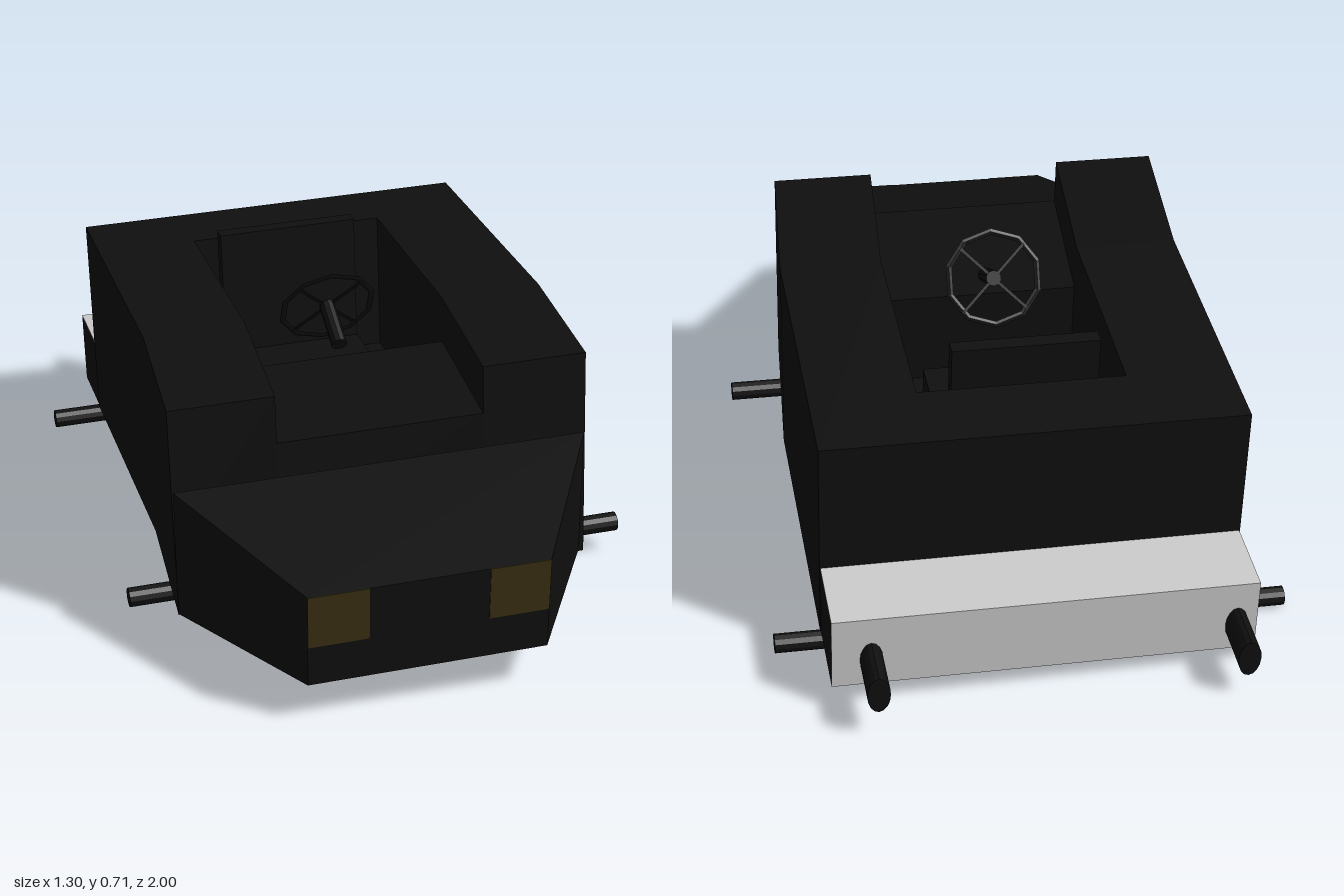
import * as THREE from 'three';

const mat = (color) => new THREE.MeshStandardMaterial({ color, flatShading: true });

// Closed loft of rectangular sections, back to front.
// Station: [zBottom, zTop, xMin, xMax, yMin, yMax]
function loft(stations) {
  const pos = [], idx = [];
  for (const [zb, zt, x0, x1, y0, y1] of stations) {
    pos.push(x0, y0, zb, x1, y0, zb, x1, y1, zt, x0, y1, zt);
  }
  for (let i = 0; i < stations.length - 1; i++) {
    for (let j = 0; j < 4; j++) {
      const k = (j + 1) % 4, a = i * 4, b = a + 4;
      idx.push(a + j, a + k, b + k, a + j, b + k, b + j);
    }
  }
  const e = (stations.length - 1) * 4;
  idx.push(0, 2, 1, 0, 3, 2, e, e + 1, e + 2, e, e + 2, e + 3);
  const g = new THREE.BufferGeometry();
  g.setAttribute('position', new THREE.Float32BufferAttribute(pos, 3));
  g.setIndex(idx);
  const flat = g.toNonIndexed();
  flat.computeVertexNormals();
  return flat;
}

export function createModel() {
  const model = new THREE.Group();
  const black = mat(0x0f0f0f), grey = mat(0xcccccc), amber = mat(0x3a3014);

  const add = (name, geometry, material = black, parent = model) => {
    const m = new THREE.Mesh(geometry, material);
    m.name = name;
    parent.add(m);
    return m;
  };
  const box = (name, x0, x1, y0, y1, z0, z1, material) =>
    add(name, loft([[z0, z0, x0, x1, y0, y1], [z1, z1, x0, x1, y0, y1]]), material);

  // Body levels; the nose end of the body bends slightly to one side
  const floor = 0.083, well = 0.25, top = 0.622;
  const back = -0.655, mid = 0.13, front = 0.567;
  const bend = (z) => (z > mid ? -0.034 * (z - mid) / (front - mid) : 0);
  const bent = (name, zs, x0, x1, y0, y1) =>
    add(name, loft(zs.map((z) => [z, z, x0 + bend(z), x1 + bend(z), y0, y1])));

  // Tub: floor, side walls, rear deck and lowered cowl
  bent('bodyFloor', [back, mid, front], -0.514, 0.514, floor, well);
  bent('rightSideWall', [back, mid, front], -0.514, -0.255, well, top);
  bent('leftSideWall', [back, mid, front], 0.255, 0.514, well, top);
  bent('rearDeck', [back, -0.455], -0.255, 0.255, well, top);
  bent('cowl', [mid, front], -0.255, 0.255, well, 0.5);

  // Tapered nose
  add('hood', loft([
    [0.56, 0.59, -0.548, 0.47, floor, 0.422],
    [0.973, 1.0, -0.335, 0.241, floor, 0.325],
  ]));

  // Headlights, flush with the sloping nose
  const noseZ = (y) => 0.973 + 0.027 * (y - floor) / (0.325 - floor);
  for (const [name, x0, x1] of [['rightHeadlight', -0.335, -0.19], ['leftHeadlight', 0.096, 0.241]]) {
    const y0 = 0.188, y1 = 0.325;
    add(name, loft([-0.01, 0.002].map((d) => [noseZ(y0) + d, noseZ(y1) + d, x0, x1, y0, y1])), amber);
  }

  // Rear step with light cover panels
  box('rearStep', -0.512, 0.512, floor, 0.275, -0.856, back);
  box('rearStepTop', -0.512, 0.512, 0.274, 0.277, -0.858, back, grey);
  box('rearStepPanel', -0.512, 0.512, floor, 0.277, -0.858, -0.855, grey);

  // Exhaust pipes, oval in section
  for (const [name, x] of [['rightExhaust', -0.462], ['leftExhaust', 0.418]]) {
    const pipe = add(name, new THREE.CylinderGeometry(0.05, 0.05, 0.16, 16));
    pipe.rotation.x = Math.PI / 2;
    pipe.scale.x = 0.55;
    pipe.position.set(x, 0.156, -0.905);
  }

  // Axles
  for (const [name, z] of [['rearAxle', -0.658], ['frontAxle', 0.406]]) {
    const axle = add(name, new THREE.CylinderGeometry(0.024, 0.024, 1.266, 12));
    axle.rotation.z = Math.PI / 2;
    axle.position.set(-0.007, 0.06, z);
  }

  // Seat
  box('seatBack', -0.208, 0.157, well, 0.675, -0.375, -0.335);
  box('seatCushion', -0.208, 0.157, well, 0.34, -0.335, 0.04);

  // Steering wheel, tilted forward at the top
  const wheel = new THREE.Group();
  wheel.name = 'steeringWheel';
  wheel.position.set(-0.022, 0.602, 0.045);
  wheel.rotation.x = 0.5;
  const rim = add('wheelRim', new THREE.TorusGeometry(0.119, 0.008, 4, 10), black, wheel);
  rim.rotation.z = Math.PI / 2;
  rim.scale.z = 0.3;
  for (let i = 0; i < 4; i++) {
    const a = Math.PI / 4 + i * Math.PI / 2;
    const spoke = add('wheelSpoke', new THREE.BoxGeometry(0.1, 0.008, 0.004), black, wheel);
    spoke.position.set(Math.cos(a) * 0.068, Math.sin(a) * 0.068, 0);
    spoke.rotation.z = a;
  }
  const column = add('steeringColumn', new THREE.CylinderGeometry(0.02, 0.02, 0.13, 10), black, wheel);
  column.rotation.x = Math.PI / 2;
  column.position.z = 0.06;
  model.add(wheel);

  // The whole body sits slightly askew
  model.rotation.set(-0.032, -0.029, 0.02);
  const root = new THREE.Group();
  root.name = 'car';
  root.add(model);
  return root;
}
